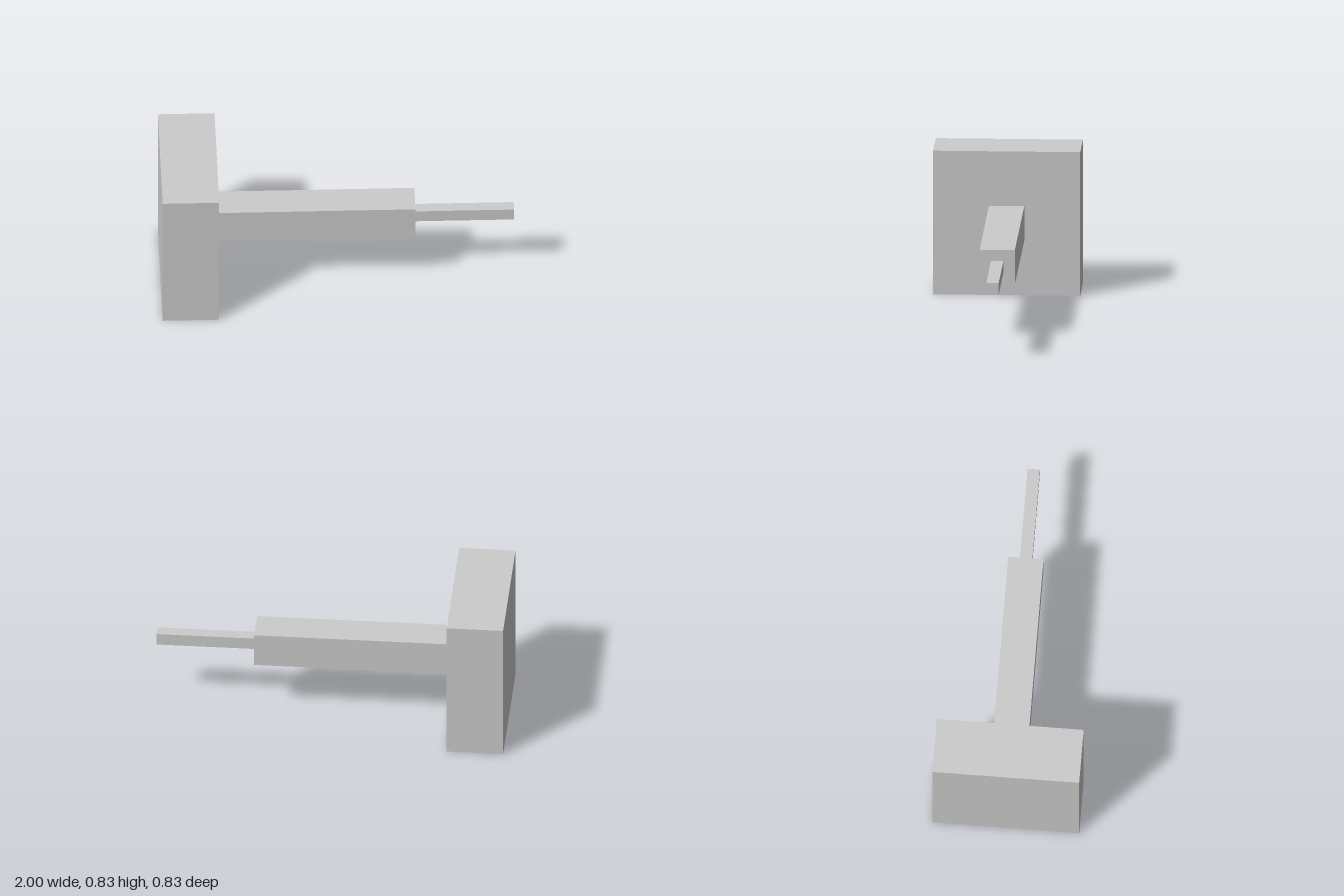
import * as THREE from 'three';

const HEAD = 0.833; // side of the square head
const AXIS_Y = HEAD / 2; // height of the shared axis

export function createModel() {
  const group = new THREE.Group();
  const material = new THREE.MeshStandardMaterial({ color: 0xcccccc, flatShading: true });

  // Square bar along x, centred on the shared axis
  function addBar(name, x0, x1, side) {
    const mesh = new THREE.Mesh(new THREE.BoxGeometry(x1 - x0, side, side), material);
    mesh.name = name;
    mesh.position.set((x0 + x1) / 2, AXIS_Y, 0);
    group.add(mesh);
  }

  addBar('head', -1, -0.68, HEAD);
  addBar('shaft', -0.68, 0.44, 0.2);
  addBar('tip', 0.44, 1, 0.07);

  return group;
}
